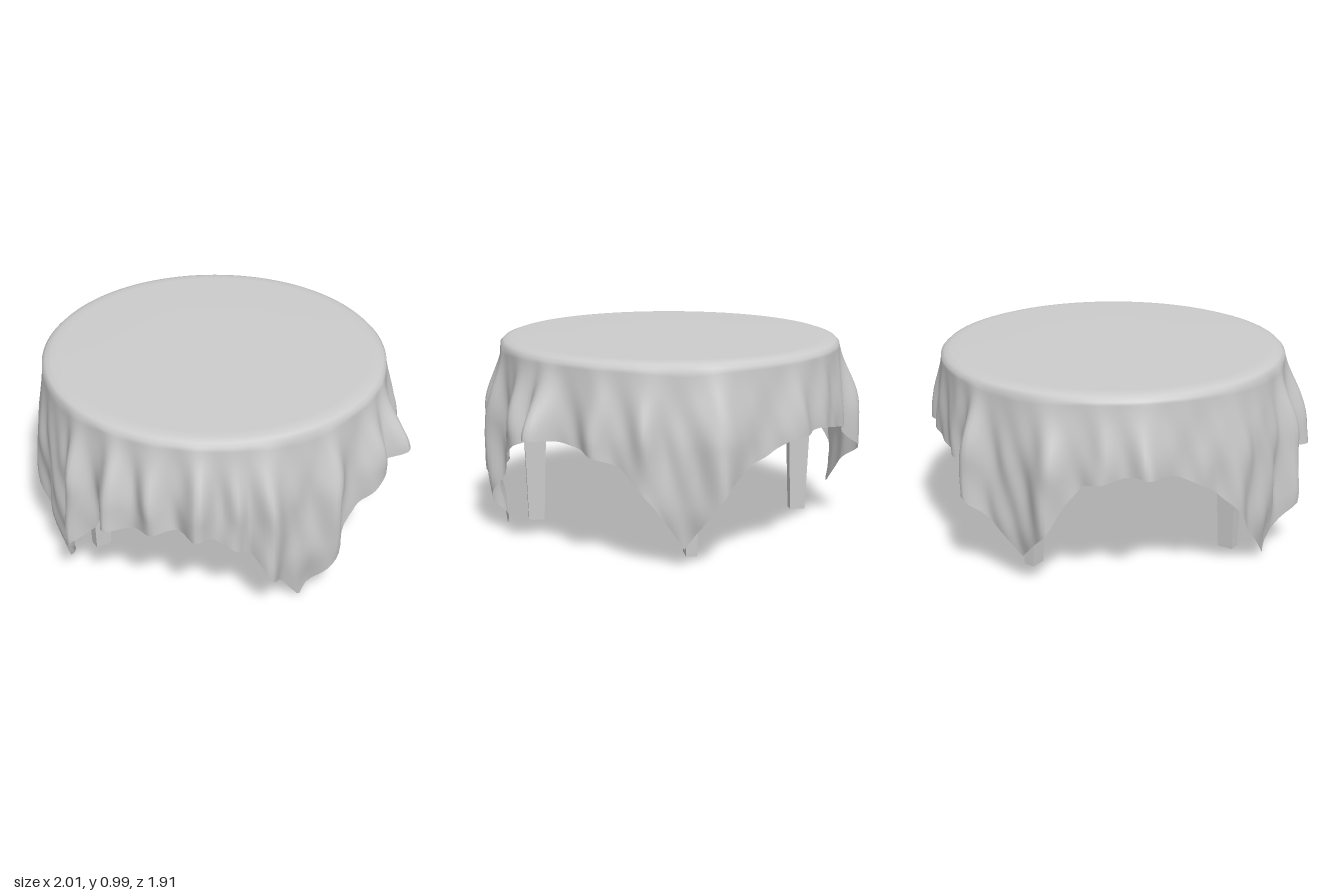
import * as THREE from 'three';

const CX = -0.04, CZ = -0.04; // table axis
const EDGE = 0.872, EDGE_Y = 0.967; // where the cloth leaves the table edge
const SKIRT = 0.895; // skirt radius between folds

const paleGrey = new THREE.MeshStandardMaterial({ color: 0xcccccc, side: THREE.DoubleSide });
paleGrey.name = 'pale grey';

// hem height around the cloth: [degrees from +x towards +z, y]; four long corners hang low
const HEM = [
  [0, 0.6], [5, 0.61], [14, 0.55], [20, 0.48], [28, 0.4], [32, 0.3], [38, 0.18], [46, 0], [53, 0.14], [59, 0.25],
  [63, 0.36], [68, 0.41], [74, 0.46], [78, 0.51], [90, 0.51], [102, 0.48], [112, 0.49], [115, 0.39], [122, 0.27],
  [133, 0.03], [144, 0.22], [152, 0.38], [160, 0.5], [172, 0.6], [185, 0.62], [200, 0.57], [206, 0.46], [210, 0.33],
  [221, 0.15], [234, 0.35], [247, 0.55], [270, 0.62], [285, 0.6], [298, 0.5], [308, 0.39], [319, 0.1],
  [329, 0.34], [338, 0.5], [350, 0.57], [360, 0.6],
];

// outward folds: [degrees, radius reached, angular width]
const FOLDS = [
  [5, 1.035, 4.5], [16, 0.985, 6], [37, 0.97, 4], [59, 0.985, 4], [69, 0.94, 3], [80, 1.0, 3.5], [94, 0.975, 4],
  [107, 1.01, 4], [122, 0.99, 4], [136, 0.92, 7], [151, 0.93, 6], [182, 0.965, 4], [194.5, 0.935, 3.5],
  [210.5, 0.97, 5], [238, 0.99, 4], [249.5, 0.92, 3], [266, 0.92, 4], [280.5, 0.945, 5], [309, 0.975, 5],
  [331, 0.945, 4], [346, 0.95, 4],
];

function hemHeight(deg) {
  const i = HEM.findIndex((p) => p[0] > deg);
  const [a0, y0] = HEM[i - 1], [a1, y1] = HEM[i];
  return y0 + (y1 - y0) * (deg - a0) / (a1 - a0);
}

function foldDepth(deg) {
  let depth = 0;
  for (const [angle, radius, width] of FOLDS) {
    const d = Math.abs(deg - angle);
    const off = Math.min(d, 360 - d) / width;
    depth = Math.max(depth, (radius - SKIRT) * Math.exp(-off * off));
  }
  return depth;
}

// cloth: flat round top, rolled edge, then a folded skirt down to the uneven hem
function clothGeometry() {
  const N = 300, ROWS = 22;
  const TOP = [[0.001, 0.997], [0.4, 0.997], [0.78, 0.997], [0.825, 0.994], [0.855, 0.984], [EDGE, EDGE_Y]];
  const positions = [], index = [];
  const put = (a, r, y) => positions.push(CX + r * Math.cos(a), y, CZ + r * Math.sin(a));
  const rows = TOP.length + ROWS;
  for (let i = 0; i < rows; i++) {
    for (let j = 0; j < N; j++) {
      const deg = j * 360 / N, a = THREE.MathUtils.degToRad(deg);
      if (i < TOP.length) {
        put(a, ...TOP[i]);
        continue;
      }
      const t = (i - TOP.length + 1) / ROWS;
      const y = THREE.MathUtils.lerp(EDGE_Y, hemHeight(deg), t);
      const drop = EDGE_Y - y;
      const open = THREE.MathUtils.smoothstep(drop, -0.03, 0.37);
      const tuck = THREE.MathUtils.smoothstep(drop, 0.65, 0.95); // corner tips swing inward
      const wrinkle = 0.006 * Math.sin(a * 23 + y * 9) + 0.005 * Math.sin(a * 41 - y * 14);
      put(a, EDGE + (SKIRT - EDGE + foldDepth(deg) + wrinkle) * open - 0.04 * tuck, y);
    }
  }
  for (let i = 0; i < rows - 1; i++) {
    for (let j = 0; j < N; j++) {
      const k = (j + 1) % N;
      const a = i * N + j, b = i * N + k, c = a + N, d = b + N;
      index.push(a, b, c, b, d, c);
    }
  }
  const geometry = new THREE.BufferGeometry();
  geometry.setAttribute('position', new THREE.Float32BufferAttribute(positions, 3));
  geometry.setIndex(index);
  geometry.computeVertexNormals();
  return geometry;
}

// box whose bottom is narrowed
function taperedBox(w, h, d, bottomW, bottomD) {
  const geometry = new THREE.BoxGeometry(w, h, d);
  const p = geometry.attributes.position;
  for (let i = 0; i < p.count; i++) {
    if (p.getY(i) < 0) {
      p.setX(i, p.getX(i) * bottomW / w);
      p.setZ(i, p.getZ(i) * bottomD / d);
    }
  }
  geometry.computeVertexNormals();
  return geometry;
}

export function createModel() {
  const model = new THREE.Group();
  model.name = 'tableWithCloth';
  const add = (parent, name, geometry, x, y, z) => {
    const mesh = new THREE.Mesh(geometry, paleGrey);
    mesh.name = name;
    mesh.position.set(x, y, z);
    parent.add(mesh);
    return mesh;
  };

  add(model, 'tablecloth', clothGeometry(), 0, 0, 0);

  // round board, slightly hollow underneath, with a thin lip
  const board = [[0, 0.95], [0.7, 0.945], [0.835, 0.89], [0.84, 0.88], [0.855, 0.88], [0.855, 0.965]]
    .map((p) => new THREE.Vector2(...p));
  add(model, 'tableTop', new THREE.LatheGeometry(board, 48), CX, 0, CZ);

  // four legs, each turned to face the middle
  for (let i = 0; i < 4; i++) {
    const leg = new THREE.Group();
    leg.name = 'leg' + (i + 1);
    leg.position.set(CX + 0.012, 0, CZ);
    leg.rotation.y = Math.PI / 4 + i * Math.PI / 2;
    add(leg, 'legBlock', new THREE.BoxGeometry(0.165, 0.2, 0.1), 0.7, 0.85, 0);
    add(leg, 'legShaft', taperedBox(0.13, 0.73, 0.088, 0.08, 0.055), 0.7, 0.395, 0);
    model.add(leg);
  }
  return model;
}
